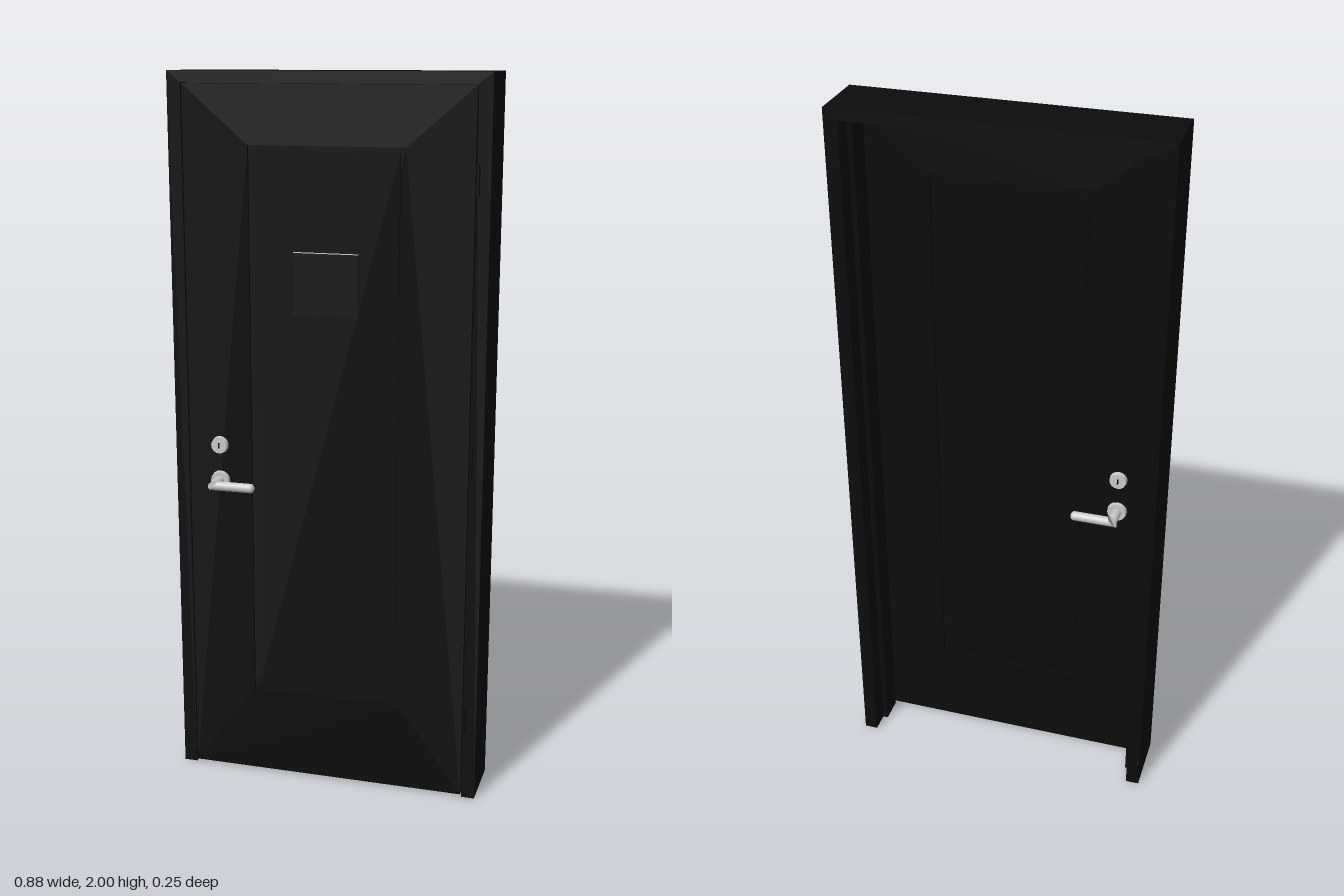
import * as THREE from 'three';

const black = new THREE.MeshStandardMaterial({ name: 'black paint', color: 0x0c0c0c });
const steel = new THREE.MeshStandardMaterial({ name: 'satin steel', color: 0xc8c8c8 });

function add(parent, name, geometry, material, x = 0, y = 0, z = 0) {
  const mesh = new THREE.Mesh(geometry, material);
  mesh.name = name;
  mesh.position.set(x, y, z);
  parent.add(mesh);
  return mesh;
}

// Rectangle path from half-width w, bottom y0 to top y1
function rect(Type, w, y0, y1) {
  const p = new Type();
  p.moveTo(-w, y0);
  p.lineTo(w, y0);
  p.lineTo(w, y1);
  p.lineTo(-w, y1);
  p.closePath();
  return p;
}

// Two jambs and a header in one extruded piece, open at the floor
function portal(wOut, top, wIn, topIn, z0, z1) {
  const s = new THREE.Shape([
    [-wOut, 0], [-wIn, 0], [-wIn, topIn], [wIn, topIn],
    [wIn, 0], [wOut, 0], [wOut, top], [-wOut, top],
  ].map(([x, y]) => new THREE.Vector2(x, y)));
  return new THREE.ExtrudeGeometry(s, { depth: z1 - z0, bevelEnabled: false }).translate(0, 0, z0);
}

// Round bar along +y whose far end is cut at 45 degrees
function mitredBar(radius, length, slope) {
  const g = new THREE.CylinderGeometry(radius, radius, length, 20).translate(0, length / 2, 0);
  const p = g.attributes.position;
  for (let i = 0; i < p.count; i++) {
    if (p.getY(i) > length / 2) p.setY(i, p.getY(i) + slope * p.getX(i));
  }
  return g;
}

// Lever, rose and lock cylinder, built outward along +z from the door face
function lockset(name) {
  const set = new THREE.Group();
  set.name = name;
  const r = 0.013, reach = 0.058;
  const disc = (rad, depth) => new THREE.CylinderGeometry(rad * 0.92, rad, depth, 16)
    .rotateX(Math.PI / 2).translate(0, 0, depth / 2);
  add(set, 'leverRose', disc(0.028, 0.011), steel);
  add(set, 'deadboltCylinder', disc(0.025, 0.012), steel, 0, 0.103, 0);
  add(set, 'deadboltKeyway', new THREE.BoxGeometry(0.004, 0.016, 0.002), black, 0, 0.103, 0.0122);
  add(set, 'leverShank', mitredBar(r, reach, -1).rotateX(Math.PI / 2), steel);
  add(set, 'leverGrip', mitredBar(r, 0.108, -1).rotateZ(Math.PI / 2).translate(0.108, 0, reach), steel);
  add(set, 'leverTip', new THREE.SphereGeometry(r, 20, 12).scale(0.8, 1, 1), steel, 0.108, 0, reach);
  return set;
}

export function createModel() {
  const model = new THREE.Group();
  model.name = 'door';
  const front = 0.05, back = 0.005, thick = front - back;

  // Frame with a stop standing between the two rebates
  add(model, 'frame', portal(0.4375, 2, 0.4, 1.97, -0.125, 0.052), black);
  add(model, 'doorStop', portal(0.401, 1.971, 0.385, 1.955, -0.07, 0.002), black);

  // Leaf with one tall panel sunk into both faces
  const leaf = rect(THREE.Shape, 0.397, 0.006, 1.967);
  leaf.holes.push(rect(THREE.Path, 0.215, 0.255, 1.81));
  add(model, 'leaf', new THREE.ExtrudeGeometry(leaf, { depth: thick, bevelEnabled: false }), black, 0, 0, back);
  add(model, 'panel', new THREE.BoxGeometry(0.43, 1.555, thick - 0.016), black, 0, 1.0325, back + thick / 2);
  add(model, 'panelField', new THREE.BoxGeometry(0.4, 1.525, thick - 0.004), black, 0, 1.0325, back + thick / 2);

  // Sign plate with a bright upper edge
  add(model, 'signPlate', new THREE.BoxGeometry(0.18, 0.17, 0.005), black, 0, 1.445, front);
  add(model, 'signEdge', new THREE.BoxGeometry(0.18, 0.002, 0.004), steel, 0, 1.531, front);

  // Three hinge knuckles on the left jamb
  for (const y of [0.24, 0.985, 1.73]) {
    add(model, 'hinge', new THREE.CylinderGeometry(0.005, 0.005, 0.08, 12), black, 0.404, y, 0.052);
  }

  // Locksets on both faces; the inner one is turned so its lever also points to the hinges
  const outer = lockset('outerLockset');
  outer.position.set(-0.307, 0.882, front);
  const inner = lockset('innerLockset');
  inner.position.set(-0.307, 0.882, back);
  inner.children.forEach((m) => {
    m.geometry.scale(1, 1, -1);
    m.position.z *= -1;
    const index = m.geometry.index.array;
    for (let i = 0; i < index.length; i += 3) {
      [index[i], index[i + 1]] = [index[i + 1], index[i]];
    }
  });
  model.add(outer, inner);
  return model;
}
